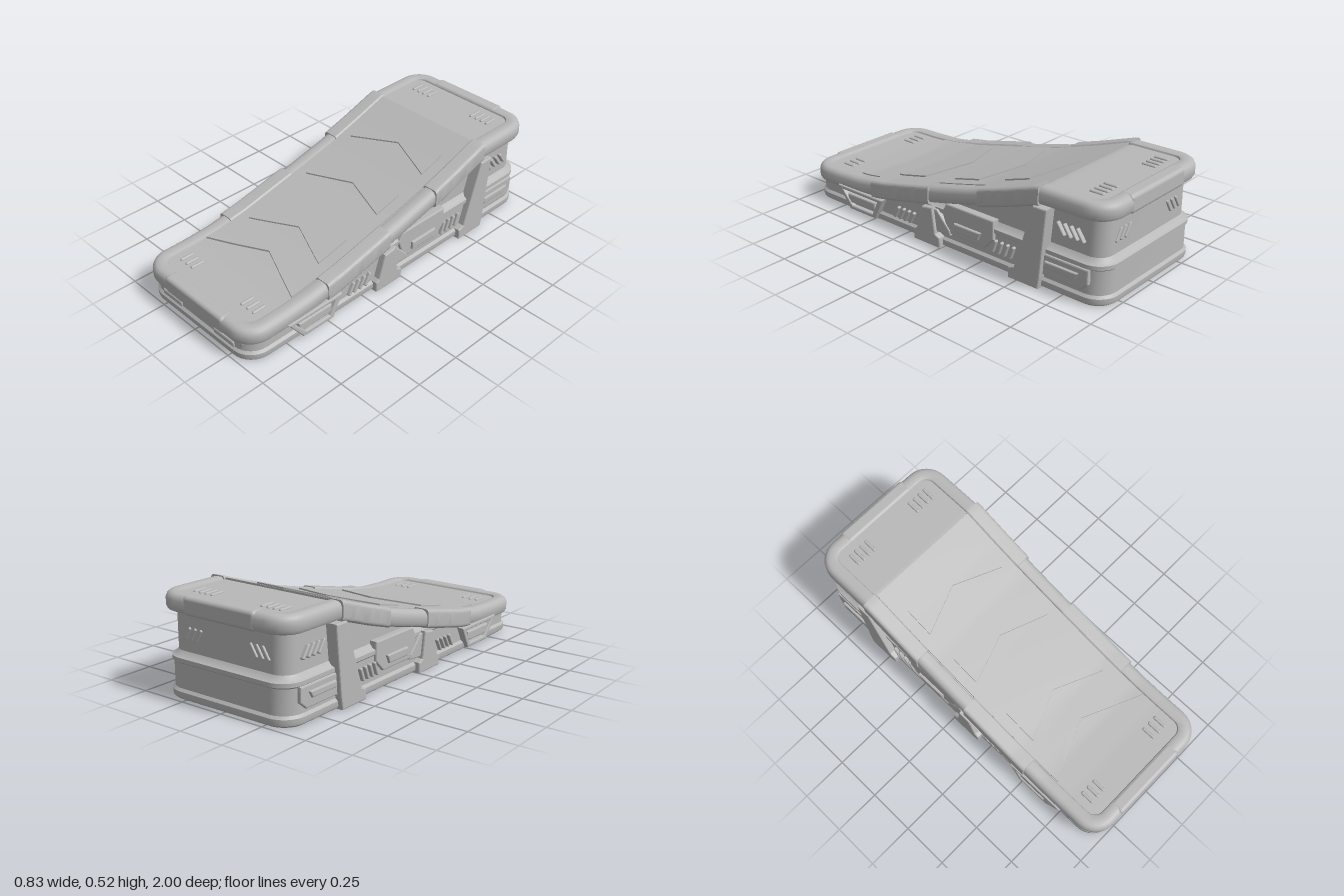
import * as THREE from 'three';
import { toCreasedNormals } from 'three/addons/utils/BufferGeometryUtils.js';
import { RoundedBoxGeometry } from 'three/addons/geometries/RoundedBoxGeometry.js';

const HX = 0.405, HZ = 1, R = 0.13;

// Height of the ramp's top edge along z
const KNOTS = [[1, .197], [.75, .199], [.6, .207], [.4, .238], [.2, .284], [0, .33], [-.2, .38], [-.4, .442], [-.61, .514], [-1, .518]];
function topY(z) {
  for (let i = 1; i < KNOTS.length; i++) {
    const [z0, y0] = KNOTS[i - 1], [z1, y1] = KNOTS[i];
    if (z >= z1) return y0 + (y1 - y0) * (z0 - z) / (z0 - z1);
  }
  return KNOTS[KNOTS.length - 1][1];
}

// Rounded rectangle in plan: right half front to back, then mirrored left half
function outline(inset) {
  const hx = HX - inset, hz = HZ - inset, r = Math.max(R - inset, 0.03), half = [];
  const C = 8, S = 60;
  for (let i = 0; i <= C; i++) {
    const a = Math.PI / 2 * i / C;
    half.push([hx - r + r * Math.sin(a), hz - r + r * Math.cos(a)]);
  }
  for (let i = 1; i < S; i++) half.push([hx, (hz - r) * (1 - 2 * i / S)]);
  for (let i = 0; i <= C; i++) {
    const a = Math.PI / 2 * i / C;
    half.push([hx - r + r * Math.cos(a), -(hz - r) - r * Math.sin(a)]);
  }
  return half.concat(half.map(([x, z]) => [-x, z]).reverse());
}

// Loft through rings of [inset, height rule], with optional flat caps
function loft(rings, capBottom, capTop) {
  const pos = [], idx = [];
  let n = 0;
  for (const [inset, yAt] of rings) {
    const pts = outline(inset);
    n = pts.length;
    for (const [x, z] of pts) pos.push(x, yAt(z), z);
  }
  for (let k = 0; k < rings.length - 1; k++) {
    for (let i = 0; i < n; i++) {
      const a = k * n + i, b = k * n + (i + 1) % n;
      idx.push(a, b, b + n, a, b + n, a + n);
    }
  }
  const last = (rings.length - 1) * n;
  for (let i = 0; i < n / 2 - 1; i++) {
    const j = n - 1 - i;
    if (capBottom) idx.push(i, j - 1, i + 1, i, j, j - 1);
    if (capTop) idx.push(last + i, last + i + 1, last + j - 1, last + i, last + j - 1, last + j);
  }
  const g = new THREE.BufferGeometry();
  g.setAttribute('position', new THREE.Float32BufferAttribute(pos, 3));
  g.setIndex(idx);
  return toCreasedNormals(g, 0.6);
}

// Shift every vertex up to follow the ramp
function followRamp(g) {
  const p = g.attributes.position;
  for (let i = 0; i < p.count; i++) p.setY(i, p.getY(i) + topY(p.getZ(i)));
  g.computeVertexNormals();
  return toCreasedNormals(g, 0.5);
}

// Plate lying on the ramp between two V-shaped edges
function vPlate(w, backApex, backArm, frontApex, frontArm, bottom, top) {
  const g = new THREE.BoxGeometry(1, 1, 1, 12, 1, 40), p = g.attributes.position;
  for (let i = 0; i < p.count; i++) {
    const u = p.getX(i) * 2, t = p.getZ(i) + 0.5, k = Math.abs(u);
    const back = backApex + (backArm - backApex) * k, front = frontApex + (frontArm - frontApex) * k;
    p.setXYZ(i, u * w, p.getY(i) > 0 ? top : bottom, back + (front - back) * t);
  }
  return followRamp(g);
}

// Bevelled side plate from a [z, y] polygon, from the wall out to x = outer
function sidePlate(points, outer, holes = [], depth = 0.07) {
  const v = list => list.map(([z, y]) => new THREE.Vector2(-z, y));
  const s = new THREE.Shape(v(points)), b = 0.007;
  for (const h of holes) s.holes.push(new THREE.Path(v(h)));
  const g = new THREE.ExtrudeGeometry(s, { depth: depth - 2 * b, bevelSize: b, bevelOffset: -b, bevelThickness: b, bevelSegments: 2 });
  g.rotateY(Math.PI / 2);
  g.translate(outer - depth + b, 0, 0);
  return [g, outer - depth / 2];
}

export function createModel() {
  const model = new THREE.Group();
  const grey = new THREE.MeshStandardMaterial({ color: 0xb8b8b8 });
  grey.name = 'grey';
  function add(name, geometry, x = 0, y = 0, z = 0) {
    const m = new THREE.Mesh(geometry, grey);
    m.name = name;
    m.position.set(x, y, z);
    model.add(m);
    return m;
  }
  function addSides(name, [g, centre]) {
    add(name + 'Left', g);
    add(name + 'Right', g, -2 * centre);
  }

  // Lower body: plinth, wall, belt and recessed neck
  const wall = y => z => Math.min(y, topY(z) - 0.085);
  add('body', loft([
    [.03, wall(0)], [.017, wall(.01)], [.014, wall(.02)], [.014, wall(.042)], [.026, wall(.055)], [.026, wall(.18)],
    [.017, wall(.188)], [.017, wall(.208)], [.035, wall(.216)], [.05, wall(.235)], [.05, z => topY(z) - 0.08],
  ], true, false));

  // Rounded rim and sunken deck
  const off = d => z => topY(z) + d;
  add('rimAndDeck', loft([
    [.06, off(-.09)], [.022, off(-.09)], [.008, off(-.083)], [0, off(-.068)], [0, off(-.03)], [.008, off(-.012)],
    [.02, off(-.003)], [.035, off(0)], [.065, off(0)], [.074, off(-.004)], [.078, off(-.012)],
  ], false, true));

  // Raised ramp panel and chevrons
  add('rampPanel', vPlate(.322, -.61, -.61, .52, .66, -.03, -.002));
  for (const [a, b, c, d] of [[-.55, -.45, -.4, -.3], [-.22, -.13, -.06, .03], [.15, .24, .32, .43]])
    add('chevron', vPlate(.262, a, b, c, d, -.02, .006));

  // Sleeves around the long rim
  for (const side of [-1, 1]) for (const [z0, z1] of [[-.62, -.25], [.08, .5]]) {
    const x0 = .322, x1 = .411, y0 = -.096, y1 = .005, r = .022, s = new THREE.Shape();
    s.moveTo(x0, y0);
    s.lineTo(x1 - r, y0);
    s.quadraticCurveTo(x1, y0, x1, y0 + r);
    s.lineTo(x1, y1 - r);
    s.quadraticCurveTo(x1, y1, x1 - r, y1);
    s.lineTo(x0 + .008, y1);
    s.lineTo(x0, y1 - .008);
    const g = new THREE.ExtrudeGeometry(s, { depth: z1 - z0, steps: 16, bevelEnabled: false, curveSegments: 5 });
    g.translate(-.3665, 0, z0);
    if (side < 0) { g.rotateY(Math.PI); g.translate(0, 0, z0 + z1); }
    g.translate(side * .3665, 0, 0);
    add('rimSleeve', followRamp(g));
  }
  // Short sleeves on the end rims
  add('frontRimSleeve', new RoundedBoxGeometry(.44, .094, .08, 4, .02), 0, .152, .961);
  add('rearRimSleeve', new RoundedBoxGeometry(.44, .094, .08, 4, .02), 0, .473, -.961);

  // Side supports and framed panels
  addSides('rearLeg', sidePlate([[-.45, 0], [-.63, 0], [-.64, .06], [-.675, .42], [-.595, .42], [-.485, .07], [-.45, .055]], .417));
  addSides('middleLeg', sidePlate([[.18, 0], [0, 0], [0, .055], [.03, .07], [.05, .21], [.12, .2], [.16, .07], [.18, .055]], .417));
  addSides('middleGusset', sidePlate([[.07, .075], [-.06, .085], [-.055, .11], [.03, .2], [.06, .2]], .4));
  addSides('frontFrame', sidePlate([[.67, .015], [.475, .015], [.415, .135], [.76, .135]], .415,
    [[[.65, .038], [.495, .038], [.455, .115], [.72, .115]]]));
  addSides('frontFrameSlot', sidePlate([[.69, .06], [.67, .05], [.5, .05], [.48, .06], [.48, .1], [.69, .1]], .409));
  addSides('middlePanel', sidePlate([[-.04, .09], [-.28, .09], [-.34, .15], [-.34, .25], [-.03, .25], [0, .2]], .394));
  addSides('middlePanelSlot', sidePlate([[-.09, .12], [-.245, .12], [-.265, .165], [-.09, .165]], .408));
  addSides('rearPanel', sidePlate([[-.64, .075], [-.86, .075], [-.9, .11], [-.9, .185], [-.64, .185]], .394, [], .05));
  addSides('rearPanelSlot', sidePlate([[-.66, .12], [-.83, .12], [-.85, .155], [-.66, .155]], .407, [], .05));

  // Slanted side vents
  const slat = new RoundedBoxGeometry(.03, .075, .016, 3, .007);
  for (const [z0, y, n, tilt, x] of [[.33, .093, 4, -.5, .383], [-.34, .118, 4, -.35, .383], [-.72, .325, 4, .6, .36]])
    for (let i = 0; i < n; i++) for (const s of [-1, 1])
      add('sideVent', slat, s * x, y, z0 - i * .037).rotation.x = tilt;

  // Deck vents at both ends
  const deckSlat = new RoundedBoxGeometry(.018, .018, .08, 3, .008);
  for (const s of [-1, 1]) {
    for (let i = 0; i < 4; i++) add('rearDeckVent', deckSlat, s * (.155 + i * .036), topY(-.84) - .012, -.84);
    for (let i = 0; i < 3; i++) add('frontDeckVent', deckSlat, s * (.19 + i * .042), topY(.82) - .012, .82);
  }

  // Front slots, corner ribs and rear wall vents
  const frontSlot = new RoundedBoxGeometry(.155, .036, .03, 3, .012);
  const rib = new RoundedBoxGeometry(.016, .07, .03, 3, .007);
  const rearSlat = new RoundedBoxGeometry(.016, .075, .03, 3, .007);
  for (const s of [-1, 1]) {
    add('frontSlot', frontSlot, s * .198, .066, .967);
    add('frontRib', rib, s * .305, .072, .955).rotation.z = s * -.45;
    for (let i = 0; i < 3; i++) add('rearVent', rearSlat, s * (.17 + i * .036), .325, -.944).rotation.z = s * .55;
  }
  return model;
}
